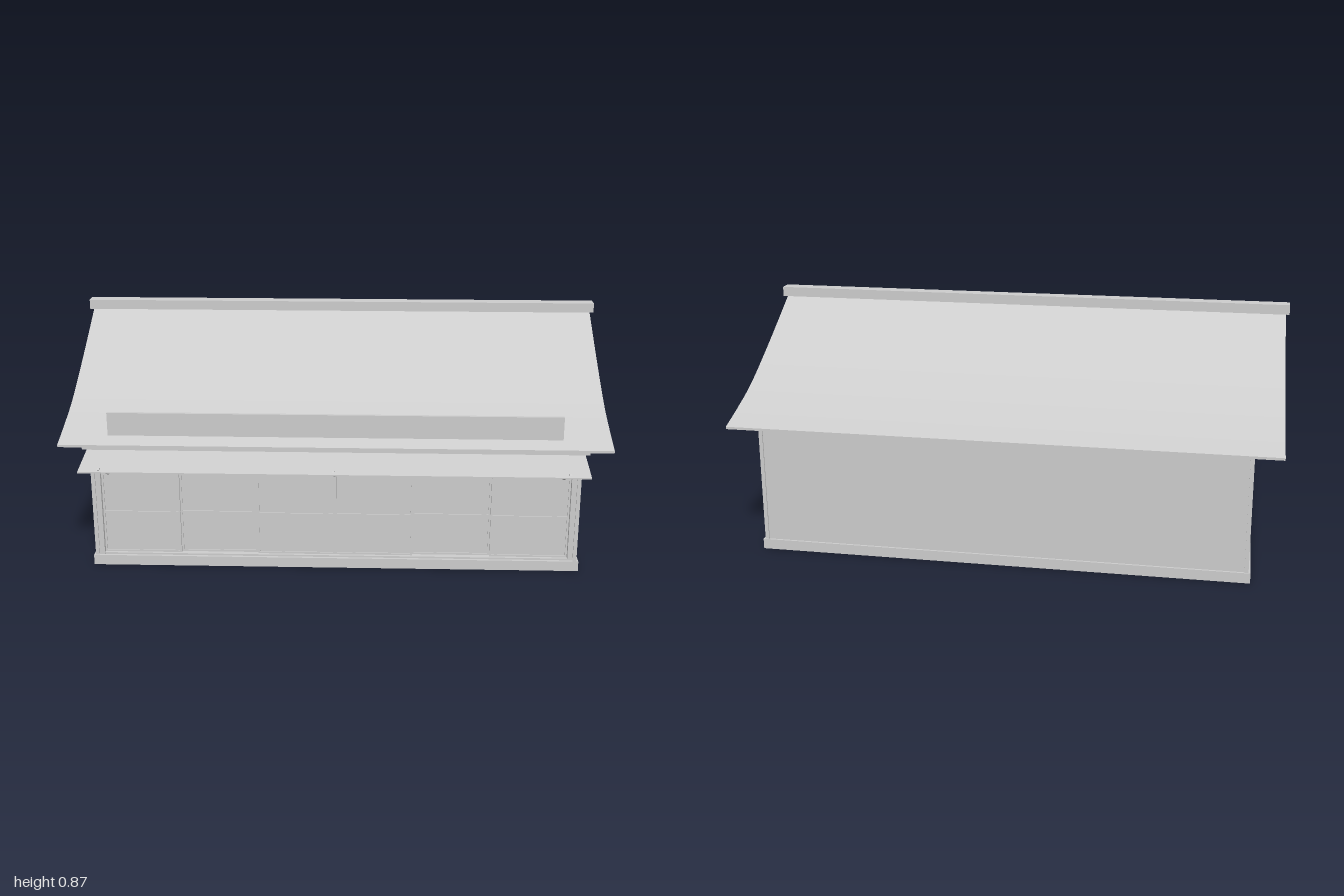
import * as THREE from 'three';

export function createModel() {
  const model = new THREE.Group();
  model.name = 'shopHouse';
  const grey = new THREE.MeshStandardMaterial({ color: 0xcccccc });
  grey.name = 'plainGrey';

  const add = (name, geometry) => {
    const mesh = new THREE.Mesh(geometry, grey);
    mesh.name = name;
    model.add(mesh);
    return mesh;
  };
  // Box given by its limits on each axis
  const box = (name, x0, x1, y0, y1, z0, z1) => {
    const g = new THREE.BoxGeometry(x1 - x0, y1 - y0, z1 - z0);
    g.translate((x0 + x1) / 2, (y0 + y1) / 2, (z0 + z1) / 2);
    return add(name, g);
  };
  // Side profile of [z, y] points, extruded along x about a centre
  const alongX = (name, points, width, x = 0) => {
    const shape = new THREE.Shape(points.map(([z, y]) => new THREE.Vector2(-z, y)));
    const g = new THREE.ExtrudeGeometry(shape, { depth: width, bevelEnabled: false });
    g.translate(0, 0, -width / 2);
    g.rotateY(Math.PI / 2);
    g.translate(x, 0, 0);
    return add(name, g);
  };

  // Floor slab and plinth
  box('plinth', -0.895, 0.895, 0, 0.038, -0.688, 0.588);

  // Hollow walls, open at the gables
  box('backWall', -0.88, 0.88, 0.038, 0.478, -0.68, -0.662);
  for (const s of [-1, 1]) {
    const [a, b] = s < 0 ? [-0.88, -0.862] : [0.862, 0.88];
    box('sideWall', a, b, 0.038, 0.478, -0.662, 0.575);
    const [c, d] = s < 0 ? [-0.888, -0.874] : [0.874, 0.888];
    box('frontCornerPost', c, d, 0.038, 0.46, 0.572, 0.585);
    box('backCornerPost', c, d, 0.038, 0.478, -0.685, -0.67);
    box('doorJamb', Math.min(s * 0.855, s * 0.875), Math.max(s * 0.855, s * 0.875), 0.038, 0.46, 0.54, 0.58);
  }

  // Front lintel, sill and eave beam
  box('lintel', -0.862, 0.862, 0.365, 0.46, 0.55, 0.578);
  box('doorSill', -0.857, 0.857, 0.038, 0.045, 0.54, 0.578);
  box('eaveBeam', -0.91, 0.91, 0.458, 0.488, 0.55, 0.6);

  // Six sliding panels, alternating between two tracks
  const panelWidth = 0.2847;
  [0, 1, 0, 0, 1, 0].forEach((track, i) => {
    const x0 = -0.854 + i * panelWidth, x1 = x0 + panelWidth;
    const z = track ? 0.552 : 0.562;
    box('slidingPanel', x0, x1, 0.045, 0.365, z - 0.002, z + 0.002);
    box('panelStile', x0, x0 + 0.007, 0.045, 0.365, z - 0.006, z + 0.006);
    box('panelStile', x1 - 0.007, x1, 0.045, 0.365, z - 0.006, z + 0.006);
    for (const y of [0.045, 0.2, 0.358]) {
      box('panelRail', x0 + 0.007, x1 - 0.007, y, y + 0.007, z - 0.006, z + 0.006);
    }
  });

  // Curved roof slopes, mirrored about the ridge
  const ridgeZ = -0.05;
  const curve = new THREE.SplineCurve([
    [0.69, 0.481], [0.57, 0.52], [0.435, 0.573], [0.236, 0.682], [0, 0.824],
  ].map(([z, y]) => new THREE.Vector2(z, y))).getPoints(16);
  for (const s of [1, -1]) {
    const lower = curve.map((p) => [ridgeZ + s * p.x, p.y]);
    const upper = lower.map(([z, y]) => [z, y + 0.009]).reverse();
    alongX(s > 0 ? 'frontRoof' : 'backRoof', [...lower, ...upper], 1.974);
  }
  box('ridgeCap', -1, 1, 0.828, 0.865, -0.076, -0.025);

  // Sign board above the front eave
  box('signBoard', -0.817, 0.815, 0.508, 0.593, 0.572, 0.584);

  // Awning with three sloping struts
  alongX('awning', [[0.575, 0.452], [0.742, 0.422], [0.742, 0.427], [0.575, 0.458]], 1.79);
  for (const x of [-0.824, 0, 0.824]) {
    alongX('awningStrut', [[0.58, 0.36], [0.585, 0.358], [0.733, 0.431], [0.728, 0.437], [0.58, 0.366]], 0.008, x);
  }
  return model;
}
